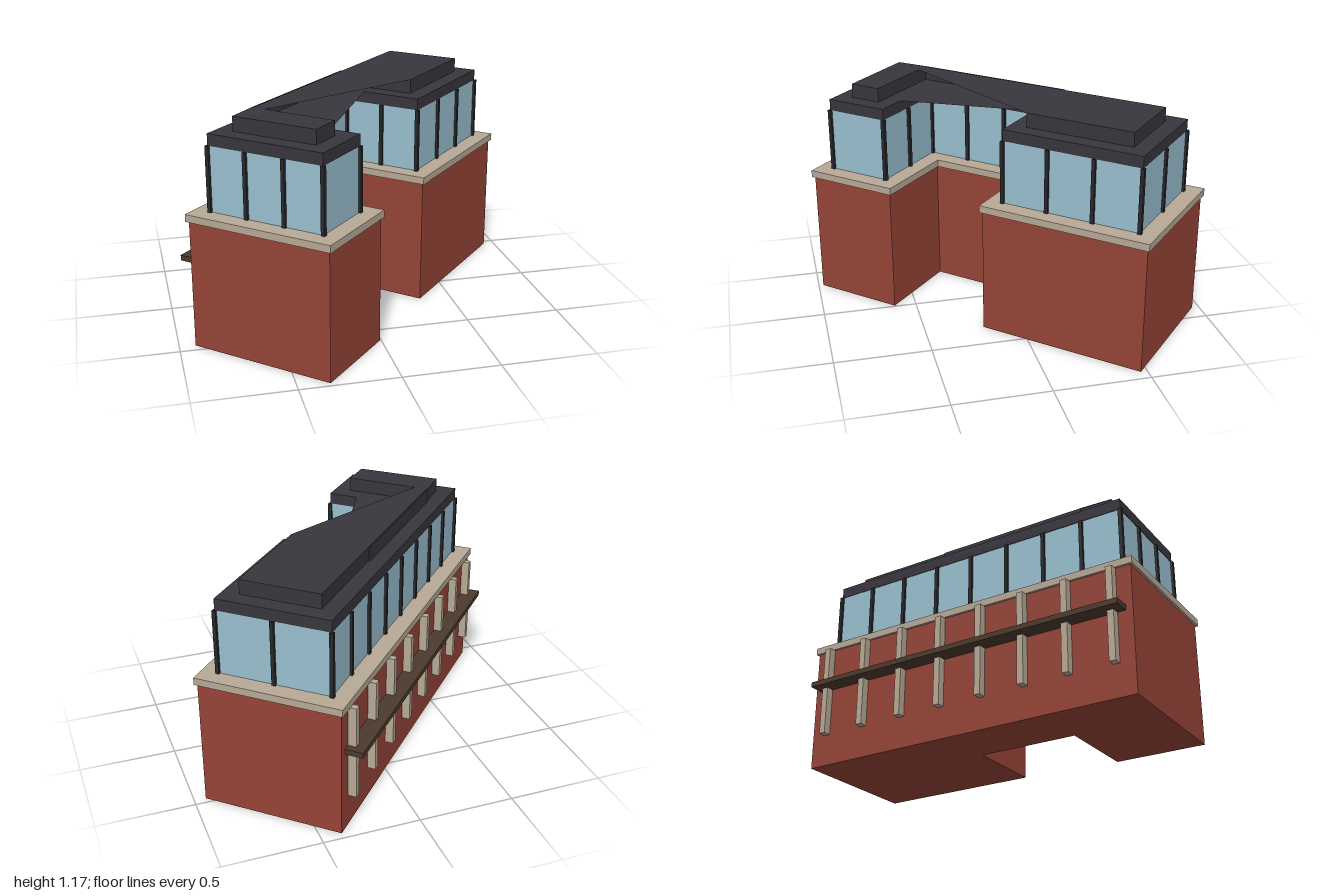
import * as THREE from 'three';

const mat = (name, color, side = THREE.FrontSide) => {
  const m = new THREE.MeshStandardMaterial({ color, side });
  m.name = name;
  return m;
};

// U-shaped plan, inset by d; x runs along the building, z towards the courtyard
const plan = (d) => [
  [-0.968 + d, -0.379 + d], [0.987 - d, -0.379 + d],
  [0.994 - d, 0.385 - d], [0.0715 + d, 0.387 - d],
  [0.0715 + d, -0.039 - d], [-0.444 - d, -0.039 - d],
  [-0.444 - d, 0.426 - d], [-0.96 + d, 0.426 - d],
];

const shapeOf = (pts) => new THREE.Shape(pts.map(([x, z]) => new THREE.Vector2(x, -z)));

export function createModel() {
  const brick = mat('brick red', 0x964437);
  const stone = mat('pale stone', 0xb8a996);
  const glass = mat('window blue', 0x9ac0d0);
  const roof = mat('roof charcoal', 0x38363d, THREE.DoubleSide);
  const frame = mat('frame black', 0x28282c);
  const timber = mat('dark timber', 0x4c3a2d);

  const root = new THREE.Group();
  const building = new THREE.Group();
  building.name = 'building';
  building.rotation.y = 0.8224;
  root.add(building);

  const add = (name, geometry, material, parent = building) => {
    const mesh = new THREE.Mesh(geometry, material);
    mesh.name = name;
    parent.add(mesh);
    return mesh;
  };
  const subgroup = (name) => {
    const g = new THREE.Group();
    g.name = name;
    building.add(g);
    return g;
  };
  const prism = (name, pts, y0, y1, material) => {
    const g = new THREE.ExtrudeGeometry(shapeOf(pts), { depth: y1 - y0, bevelEnabled: false });
    g.rotateX(-Math.PI / 2).translate(0, y0, 0);
    return add(name, g, material);
  };

  // Stacked storeys
  prism('brickBase', plan(0.0125), 0, 0.667, brick);
  prism('stoneTerrace', plan(0), 0.667, 0.705, stone);
  prism('glassStorey', plan(0.09), 0.705, 1.04, glass);
  prism('roofFascia', plan(0.087), 1.04, 1.1, roof);

  // Window mullions, evenly spaced along each side
  const mullions = subgroup('mullions');
  const bays = [8, 2, 3, 2, 3, 2, 1, 3];
  const ring = plan(0.087);
  const post = new THREE.BoxGeometry(0.02, 0.335, 0.02);
  ring.forEach(([x0, z0], i) => {
    const [x1, z1] = ring[(i + 1) % ring.length];
    for (let k = 0; k < bays[i]; k++) {
      const t = k / bays[i];
      add('mullion', post, frame, mullions)
        .position.set(x0 + (x1 - x0) * t, 0.8725, z0 + (z1 - z0) * t);
    }
  });

  // Raised roof cap: upright walls, then thin sheets that span part of the courtyard
  const cap = subgroup('roofCap');
  const capPlan = plan(0.174);
  const [A, B, C, D, P, Q, E, F] = capPlan;
  capPlan.forEach(([x0, z0], i) => {
    const [x1, z1] = capPlan[(i + 1) % capPlan.length];
    const wall = add('capWall', new THREE.PlaneGeometry(Math.hypot(x1 - x0, z1 - z0), 0.075), roof, cap);
    wall.position.set((x0 + x1) / 2, 1.1375, (z0 + z1) / 2);
    wall.rotation.y = Math.atan2(z1 - z0, x0 - x1);
  });
  const sheet = (name, pts, y) => {
    const g = new THREE.ShapeGeometry(shapeOf(pts));
    g.rotateX(-Math.PI / 2).translate(0, y, 0);
    add(name, g, roof, cap);
  };
  sheet('capTop', [A, B, C, D], 1.175);
  sheet('capWingTop', [A, Q, E, F], 1.175);
  sheet('capUnderside', [A, B, F], 1.101);
  sheet('capUndersideRight', [B, C, D, P], 1.101);

  // Stone pilasters and timber ledge along the rear wall
  const rear = subgroup('rearWallDetails');
  const pilaster = new THREE.BoxGeometry(0.035, 0.495, 0.045);
  for (let i = 0; i < 8; i++) {
    add('pilaster', pilaster, stone, rear).position.set(-0.857 + i * 0.248, 0.4185, -0.387);
  }
  add('timberLedge', new THREE.BoxGeometry(1.853, 0.028, 0.092), timber, rear)
    .position.set(0.0075, 0.445, -0.412);

  return root;
}
